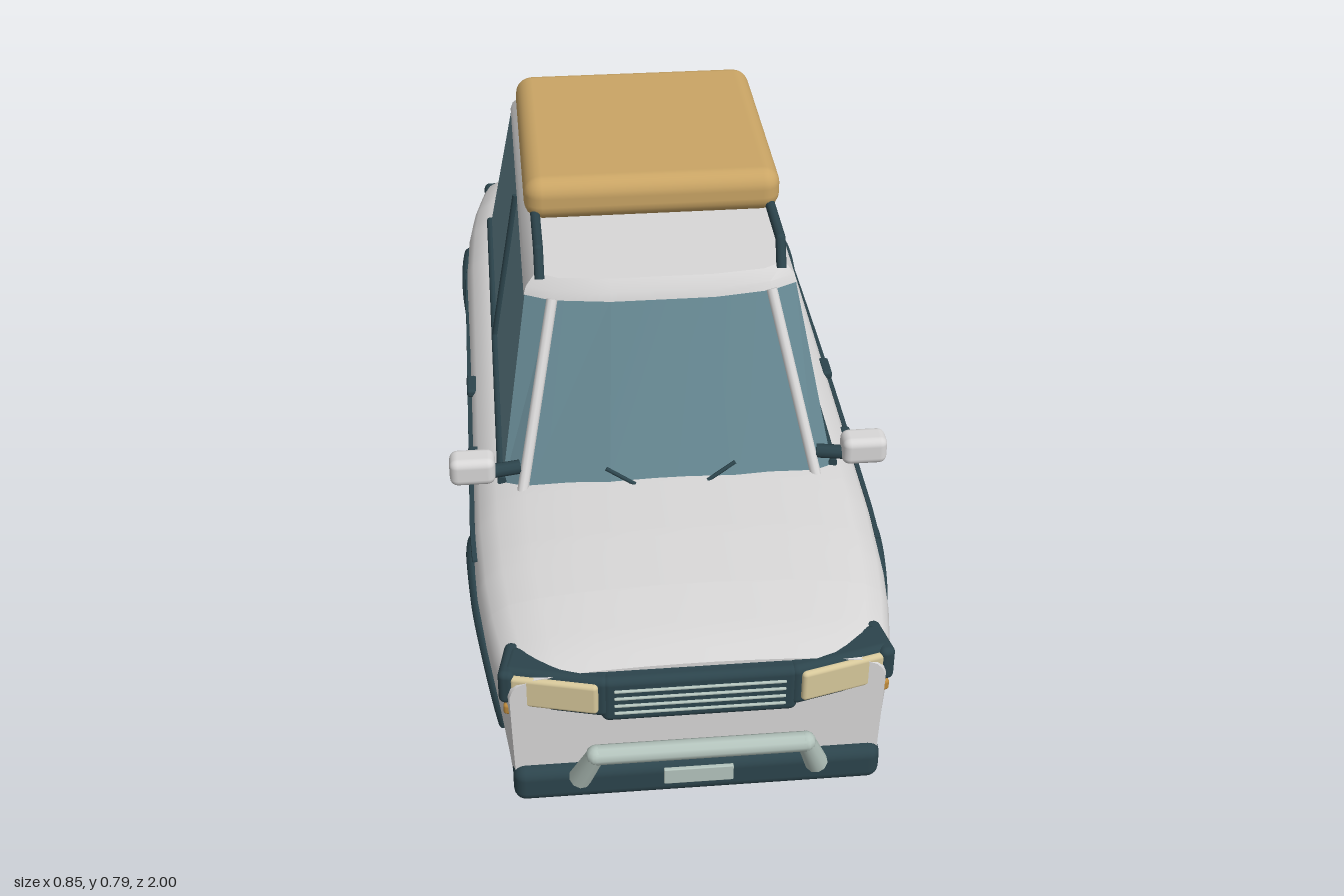
import * as THREE from 'three';
import { toCreasedNormals } from 'three/addons/utils/BufferGeometryUtils.js';
import { RoundedBoxGeometry } from 'three/addons/geometries/RoundedBoxGeometry.js';

const { lerp, clamp } = THREE.MathUtils;
const V = (x, y, z) => new THREE.Vector3(x, y, z);

function material(name, color, side = THREE.FrontSide) {
  const m = new THREE.MeshStandardMaterial({ color, side });
  m.name = name;
  return m;
}

// piecewise linear lookup in a list of [key, value]
function lookup(table, k) {
  for (let i = 1; i < table.length; i++) {
    const [a, va] = table[i - 1], [b, vb] = table[i];
    if (k <= b) return lerp(va, vb, clamp((k - a) / (b - a), 0, 1));
  }
  return table[table.length - 1][1];
}

// half outline -> full symmetric ring
const mirrorRing = (half) => [...half, ...half.map(([x, y, z]) => [-x, y, z]).reverse()];

// closed, capped skin over symmetric rings
function loft(rings, crease) {
  const n = rings[0].length, pos = rings.flat(2), index = [];
  for (let s = 0; s < rings.length - 1; s++) {
    for (let i = 0; i < n; i++) {
      const a = s * n + i, b = s * n + (i + 1) % n;
      index.push(a, b, b + n, a, b + n, a + n);
    }
  }
  const last = (rings.length - 1) * n;
  for (let i = 0; i < n / 2 - 1; i++) {
    const a = i, b = i + 1, c = n - 2 - i, d = n - 1 - i;
    index.push(last + a, last + b, last + c, last + a, last + c, last + d);
    index.push(a, c, b, a, d, c);
  }
  const g = new THREE.BufferGeometry();
  g.setAttribute('position', new THREE.Float32BufferAttribute(pos, 3));
  g.setIndex(index);
  return toCreasedNormals(g, crease);
}

// body plan: half width and centre height along z
const WIDTH = [[-0.945, 0.325], [-0.925, 0.338], [-0.86, 0.352], [-0.78, 0.368], [-0.68, 0.38], [-0.5, 0.388],
  [0.5, 0.388], [0.66, 0.381], [0.76, 0.37], [0.84, 0.356], [0.9, 0.342], [0.93, 0.33]];
const HEIGHT = [[-0.945, 0.288], [-0.9, 0.302], [-0.8, 0.319], [-0.68, 0.329], [0.45, 0.335], [0.6, 0.331],
  [0.75, 0.322], [0.87, 0.308], [0.93, 0.295]];
const ARCHES = [-0.592, 0.548], ARCH_R = 0.212, WAIST = 0.24;

function bottomY(z) {
  const c = ARCHES.find((a) => Math.abs(z - a) < ARCH_R);
  const floor = Math.abs(z) < 0.4 ? 0.025 : 0.012;
  return c === undefined ? floor : Math.max(floor, 0.012 + Math.sqrt(ARCH_R ** 2 - (z - c) ** 2));
}

function bodyX(z, y) {
  const w = lookup(WIDTH, z);
  const taper = 0.02 + 0.1 * clamp((w - 0.33) / 0.055, 0, 1);
  return w * (1 - taper * Math.pow(clamp((WAIST - y) / 0.23, 0, 1), 1.3));
}

function bodyGeometry() {
  const zs = [...WIDTH, ...HEIGHT].map((p) => p[0]);
  zs.push(-0.15, 0, 0.15);
  for (const c of ARCHES) {
    for (let i = 0; i <= 28; i++) zs.push(c - ARCH_R * 1.0001 * Math.cos(i / 28 * Math.PI));
  }
  zs.sort((a, b) => a - b);
  const stations = zs.filter((z, i) => i === 0 || z - zs[i - 1] > 1e-4);
  const crown = [[0.985, 0.25], [0.955, 0.46], [0.87, 0.69], [0.72, 0.83], [0.5, 0.93], [0.28, 0.98], [0.08, 1]];
  return loft(stations.map((z) => {
    const yb = bottomY(z), w = lookup(WIDTH, z), rise = lookup(HEIGHT, z) - WAIST, half = [];
    for (let i = 0; i <= 6; i++) {
      const y = lerp(yb, WAIST, i / 6);
      half.push([bodyX(z, y), y, z]);
    }
    for (const [fx, fy] of crown) half.push([w * fx, WAIST + rise * fy, z]);
    return mirrorRing(half);
  }), 0.75);
}

export function createModel() {
  const car = new THREE.Group();
  car.name = 'car';
  const paint = material('body paint', 0xd8d7d7);
  const glass = material('window glass', 0x64858f);
  const dark = material('dark trim', 0x2c444c, THREE.DoubleSide);
  const tan = material('roof box tan', 0xcaa565);
  const lamp = material('headlight cream', 0xd6c79a);
  const metal = material('pale metal', 0xb5c5be);
  const red = material('tail light red', 0xae2b30);
  const amber = material('indicator amber', 0xbd8a3c);

  const add = (name, geo, mat) => {
    const m = new THREE.Mesh(geo, mat);
    m.name = name;
    car.add(m);
    return m;
  };
  const box = (name, mat, size, at, r = 0.008, yaw = 0) => {
    const m = add(name, new RoundedBoxGeometry(...size, 3, Math.min(r, Math.min(...size) * 0.49)), mat);
    m.position.set(...at);
    m.rotation.y = yaw;
    return m;
  };
  const bar = (name, mat, a, b, r, r2 = r) => {
    const d = b.clone().sub(a);
    const m = add(name, new THREE.CylinderGeometry(r2, r, d.length(), 10), mat);
    m.position.copy(a).addScaledVector(d, 0.5);
    m.quaternion.setFromUnitVectors(V(0, 1, 0), d.normalize());
    return m;
  };
  const joint = (name, mat, at, r) => add(name, new THREE.SphereGeometry(r, 10, 8), mat).position.copy(at);

  add('body', bodyGeometry(), paint);

  // cabin glass and roof
  const ring = (y, pts) => mirrorRing(pts.map(([x, z]) => [x, y, z]));
  const cabinTop = [[0.1, 0.278], [0.212, 0.262], [0.264, 0.235], [0.264, -0.59], [0.232, -0.615], [0.1, -0.622]];
  add('cabinGlass', loft([
    ring(0.29, [[0.12, 0.47], [0.288, 0.44], [0.328, 0.405], [0.328, -0.655], [0.286, -0.695], [0.12, -0.702]]),
    ring(0.642, cabinTop)], 0.15), glass);
  add('roof', loft([
    ring(0.638, cabinTop.map(([x, z]) => [x * 1.01, z + 0.004 * Math.sign(z)])),
    ring(0.655, cabinTop.map(([x, z]) => [x * 0.99, z])),
    ring(0.678, [[0.1, 0.262], [0.2, 0.25], [0.242, 0.225], [0.242, -0.572], [0.21, -0.598], [0.1, -0.604]])], 0.5), paint);

  // roof box
  box('roofBox', tan, [0.512, 0.09, 0.53], [0, 0.75, -0.18], 0.036);

  for (const s of [1, -1]) {
    // pillars and belt line
    bar('frontPillar', paint, V(s * 0.288, 0.305, 0.435), V(s * 0.213, 0.64, 0.264), 0.011);
    bar('rearPillar', paint, V(s * 0.285, 0.305, -0.694), V(s * 0.232, 0.64, -0.616), 0.011);
    bar('middlePillar', dark, V(s * 0.327, 0.305, -0.13), V(s * 0.267, 0.638, -0.168), 0.009);
    bar('beltTrim', dark, V(s * 0.326, 0.313, 0.4), V(s * 0.326, 0.313, -0.655), 0.009);

    // roof rail
    const rail = [V(s * 0.235, 0.67, 0.238), V(s * 0.235, 0.722, 0.212), V(s * 0.235, 0.722, -0.53), V(s * 0.235, 0.67, -0.556)];
    for (let i = 0; i < 3; i++) bar('roofRail', dark, rail[i], rail[i + 1], 0.01);
    for (const p of rail.slice(1, 3)) joint('roofRailCorner', dark, p, 0.01);

    // mirror
    bar('mirrorArm', dark, V(s * 0.29, 0.35, 0.405), V(s * 0.345, 0.35, 0.415), 0.014);
    box('mirror', paint, [0.088, 0.058, 0.055], [s * 0.381, 0.362, 0.415], 0.016);

    // wiper
    bar('wiper', dark, V(s * 0.07, 0.332, 0.458), V(s * 0.125, 0.361, 0.442), 0.004);

    // wheel arch trims
    for (const c of ARCHES) {
      const pts = [];
      for (let i = 0; i <= 20; i++) {
        const t = lerp(0.03, Math.PI - 0.03, i / 20);
        const z = c + 0.217 * Math.cos(t), y = 0.018 + 0.212 * Math.sin(t);
        pts.push(V(s * (bodyX(z, y) + 0.001), y, z));
      }
      add('archTrim', new THREE.TubeGeometry(new THREE.CatmullRomCurve3(pts), 40, 0.014, 8), dark);
    }

    // side step pipe
    const step = [V(s * 0.37, 0.03, 0.465), V(s * 0.37, 0.043, 0.28), V(s * 0.37, 0.043, -0.33), V(s * 0.37, 0.032, -0.5)];
    for (let i = 0; i < 3; i++) bar('sideStep', dark, step[i], step[i + 1], 0.02);
    for (const p of step.slice(1, 3)) joint('sideStepBend', dark, p, 0.02);
    bar('stepStrip', metal, V(s * 0.383, 0.021, 0.22), V(s * 0.383, 0.021, -0.26), 0.006);

    // tapered side stripe
    const stripe = [];
    const N = 24;
    for (let i = 0; i <= N; i++) {
      const u = i / N, z = lerp(0.58, -0.57, u);
      const mid = lerp(0.264, 0.237, u), h = 0.002 + 0.011 * Math.sin(Math.PI * u);
      const x = bodyX(z, mid);
      stripe.push([[x - 0.006, mid - h, z], [x + 0.004, mid - h, z], [x + 0.003, mid + h, z], [x - 0.006, mid + h, z]]
        .map(([a, b, c]) => [s * a, b, c]));
    }
    add('sideStripe', loft(s > 0 ? stripe.reverse().map((r) => r.reverse()) : stripe.reverse(), 0.5), dark);

    // door handles
    for (const z of [0.26, 0]) box('doorHandle', dark, [0.022, 0.018, 0.062], [s * 0.381, 0.272, z], 0.006);

    // headlights and front indicators
    box('headlightHousing', dark, [0.19, 0.086, 0.07], [s * 0.243, 0.245, 0.9], 0.014, s * 0.25);
    box('headlightCorner', dark, [0.03, 0.07, 0.09], [s * 0.327, 0.252, 0.878], 0.012, s * 0.2);
    box('headlight', lamp, [0.156, 0.064, 0.03], [s * 0.251, 0.247, 0.927], 0.008, s * 0.25);
    box('frontIndicator', amber, [0.036, 0.023, 0.05], [s * 0.319, 0.205, 0.9], 0.006, s * 0.25);

    // tail lights
    box('tailLightHousing', dark, [0.148, 0.056, 0.06], [s * 0.264, 0.233, -0.928], 0.014);
    box('tailLight', red, [0.122, 0.034, 0.02], [s * 0.256, 0.233, -0.957], 0.006);
    box('rearIndicator', amber, [0.026, 0.018, 0.026], [s * 0.318, 0.192, -0.94], 0.005);

    // bull bar leg
    bar('bullBarLeg', metal, V(s * 0.212, 0.06, 0.95), V(s * 0.185, 0.142, 0.98), 0.021, 0.017);
    joint('bullBarCorner', metal, V(s * 0.185, 0.142, 0.98), 0.018);
  }
  bar('bullBar', metal, V(-0.185, 0.142, 0.98), V(0.185, 0.142, 0.98), 0.018);

  // grille
  box('grille', dark, [0.344, 0.097, 0.06], [0, 0.239, 0.925], 0.014);
  for (let i = 0; i < 4; i++) box('grilleBar', metal, [0.3, 0.005, 0.008], [0, 0.214 + i * 0.0165, 0.955], 0.002);

  // bumpers and plates
  box('frontBumper', dark, [0.66, 0.074, 0.085], [0, 0.041, 0.908], 0.022);
  box('frontPlate', metal, [0.125, 0.034, 0.008], [0, 0.052, 0.952], 0.002);
  box('rearBumper', dark, [0.69, 0.06, 0.09], [0, 0.04, -0.943], 0.022);
  box('rearPlate', lamp, [0.14, 0.04, 0.012], [0, 0.05, -0.992], 0.002);

  return car;
}
